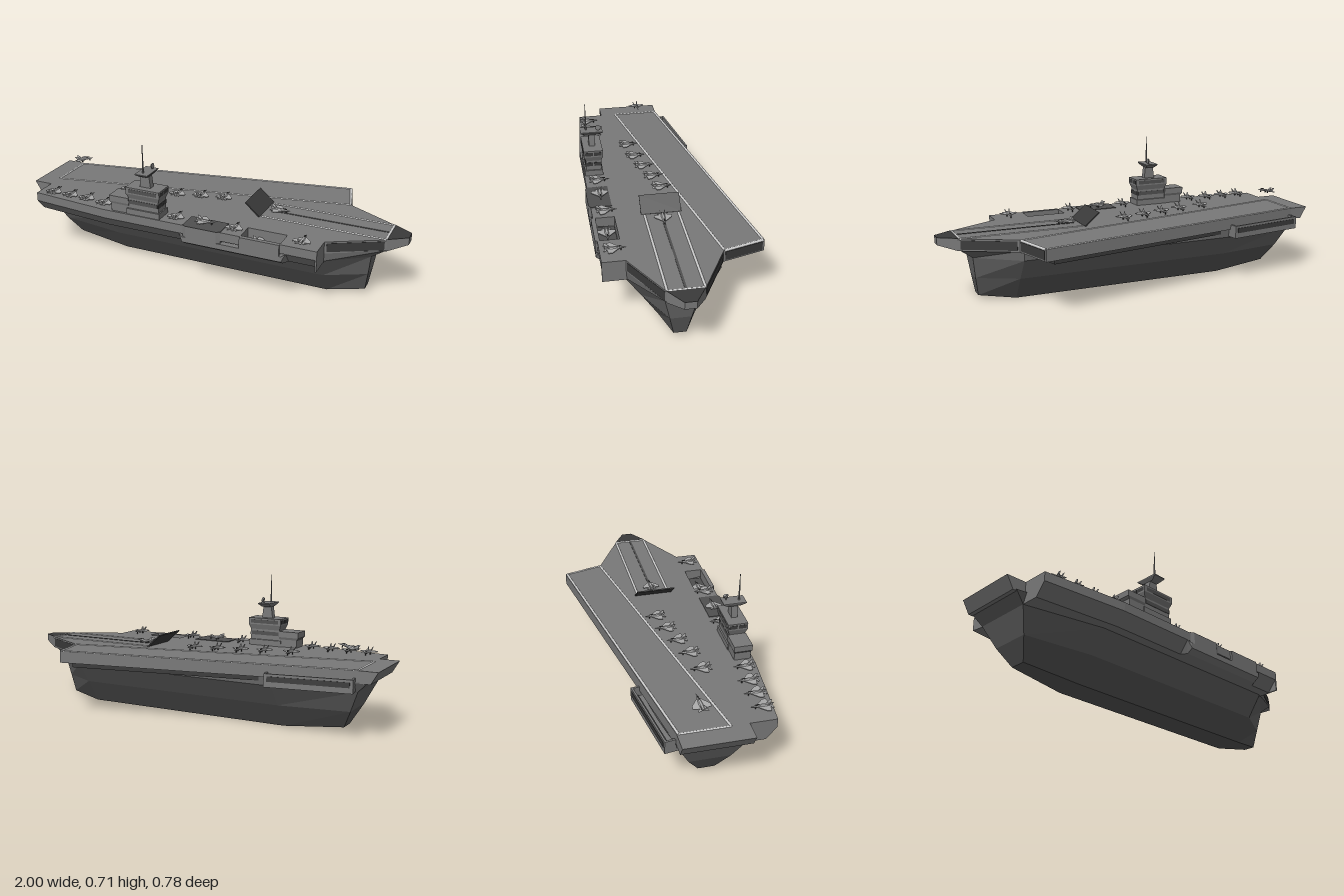
import * as THREE from 'three';

const mat = (color) => new THREE.MeshStandardMaterial({ color, flatShading: true, side: THREE.DoubleSide });
const grey = mat(0x787878), upperHull = mat(0x646464), lowerHull = mat(0x555555), liftGrey = mat(0x505050);
const dark = mat(0x3a3a3a), light = mat(0xa8a8a8), paint = mat(0xcccccc);
const DECK = 0.335, CENTRE = 0.05;

function add(parent, name, geo, material = grey, x = 0, y = 0, z = 0) {
  const m = new THREE.Mesh(geo, material);
  m.name = name;
  m.position.set(x, y, z);
  parent.add(m);
  return m;
}

// Box given by its limits on each axis
function block(parent, name, [x0, x1], [y0, y1], [z0, z1], material = grey) {
  return add(parent, name, new THREE.BoxGeometry(x1 - x0, y1 - y0, z1 - z0), material,
    (x0 + x1) / 2, (y0 + y1) / 2, (z0 + z1) / 2);
}

// Closed skin through equal rings of points, each end capped by strips across the ring
function loft(rings) {
  const pos = [], n = rings[0].length;
  const quad = (a, b, c, d) => pos.push(...a, ...b, ...c, ...a, ...c, ...d);
  for (let r = 0; r < rings.length - 1; r++)
    for (let i = 0; i < n; i++) {
      const j = (i + 1) % n, a = rings[r], b = rings[r + 1];
      quad(a[i], a[j], b[j], b[i]);
    }
  const first = rings[0], last = rings[rings.length - 1];
  for (let i = 0; i < Math.floor((n - 1) / 2); i++) {
    quad(first[n - 1 - i], first[n - 2 - i], first[i + 1], first[i]);
    quad(last[i], last[i + 1], last[n - 2 - i], last[n - 1 - i]);
  }
  const g = new THREE.BufferGeometry();
  g.setAttribute('position', new THREE.Float32BufferAttribute(pos, 3));
  g.computeVertexNormals();
  return g;
}

// Horizontal plate from an (x, z) outline, standing on y = 0
function plate(points, depth, hole) {
  const flip = (pts) => pts.map(([x, z]) => new THREE.Vector2(x, -z));
  const shape = new THREE.Shape(flip(points));
  if (hole) shape.holes.push(new THREE.Path(flip(hole)));
  return new THREE.ExtrudeGeometry(shape, { depth, bevelEnabled: false }).rotateX(-Math.PI / 2);
}

// Four-sided block whose foot and top differ: [y, x0, x1, z0, z1] per level
const tiers = (levels) => loft(levels.map(([y, x0, x1, z0, z1]) =>
  [[x1, y, z1], [x1, y, z0], [x0, y, z0], [x0, y, z1]]));

// Lays a geometry that runs along x between two (x, z) points
function span(parent, name, makeGeo, [ax, az], [bx, bz], y, material) {
  const m = add(parent, name, makeGeo(Math.hypot(bx - ax, bz - az)), material, (ax + bx) / 2, y, (az + bz) / 2);
  m.rotation.y = -Math.atan2(bz - az, bx - ax);
}
// Painted line: a round rod sunk almost flush with the deck
const line = (parent, name, a, b) => span(parent, name,
  (len) => new THREE.CylinderGeometry(0.0065, 0.0065, len, 24).rotateZ(Math.PI / 2), a, b, DECK - 0.003, paint);
// Dark panel on a vertical deck edge
const panel = (parent, a, b) => span(parent, 'edgePanel',
  (len) => new THREE.BoxGeometry(len, 0.045, 0.003), a, b, 0.305, dark);

// Jet with its nose towards +x
function makeJet() {
  const jet = new THREE.Group();
  jet.name = 'jet';
  const body = [[-0.045, 0.006, 0.008], [-0.01, 0.007, 0.011], [0.02, 0.006, 0.007], [0.052, 0.001, 0.001]];
  add(jet, 'fuselage', loft(body.map(([x, h, w]) => [0, 1, 2, 3, 4, 5].map((i) => {
    const a = i * Math.PI / 3;
    return [x, 0.014 + h * Math.sin(a), -w * Math.cos(a)];
  }))), light);
  add(jet, 'wings', plate([[0.03, 0], [-0.014, -0.043], [-0.032, -0.043], [-0.038, 0],
    [-0.032, 0.043], [-0.014, 0.043]], 0.003), light, 0, 0.012, 0);
  add(jet, 'tailplane', plate([[-0.03, 0], [-0.042, -0.024], [-0.052, -0.024], [-0.045, 0],
    [-0.052, 0.024], [-0.042, 0.024]], 0.002), light, 0, 0.0125, 0);
  const canopy = add(jet, 'canopy', new THREE.SphereGeometry(0.005, 8, 6), dark, 0.022, 0.02, 0);
  canopy.scale.set(2.2, 0.8, 0.8);
  for (const s of [-1, 1]) {
    const fin = new THREE.Shape([[-0.022, 0], [-0.044, 0], [-0.05, 0.016], [-0.04, 0.016]]
      .map(([x, y]) => new THREE.Vector2(x, y)));
    const f = add(jet, 'tailFin', new THREE.ExtrudeGeometry(fin, { depth: 0.002, bevelEnabled: false }), light, 0, 0.017, s * 0.008 - 0.001);
    f.rotation.x = s * 0.25;
    block(jet, 'mainWheel', [-0.014, -0.008], [0, 0.012], [s * 0.01 - 0.002, s * 0.01 + 0.002], dark);
  }
  block(jet, 'noseWheel', [0.027, 0.032], [0, 0.012], [-0.002, 0.002], dark);
  return jet;
}

export function createModel() {
  const ship = new THREE.Group();
  ship.name = 'aircraftCarrier';

  // Hull: levels of [y, end rise, stern x, stern half, middle half, bow x, bow half]
  const levels = [
    [0, 0.025, -0.8, 0.04, 0.07, 0.81, 0.03],
    [0.12, 0, -0.85, 0.1, 0.15, 0.825, 0.05],
    [0.23, 0, -0.9, 0.15, 0.228, 0.84, 0.075],
    [0.28, 0, -0.95, 0.165, 0.228, 0.91, 0.083],
  ].map(([y, up, xs, hs, hm, xb, hb]) => {
    const half = [[xb, y + up, hb], [0.63, y, hm], [-0.5, y, hm], [xs, y + up, hs]];
    return [...half.map(([x, h, w]) => [x, h, CENTRE - w]),
      ...half.reverse().map(([x, h, w]) => [x, h, CENTRE + w])];
  });
  add(ship, 'lowerHull', loft(levels.slice(0, 2)), lowerHull);
  add(ship, 'upperHull', loft(levels.slice(1)), upperHull);

  // Flight deck, raked at the stern, thinner at the bow and along the starboard edge
  const deck = plate([[-1, -0.12], [-0.9, -0.12], [0.59, -0.39], [0.65, -0.18], [0.91, -0.04], [1, 0.015],
    [1, 0.07], [0.91, 0.13], [0.65, 0.27], [0.65, 0.38], [-0.47, 0.38], [-0.9, 0.34], [-0.9, 0.21], [-1, 0.21]],
  0.06, [[0.27, 0.275], [0.27, 0.368], [0.47, 0.368], [0.47, 0.275]]);
  const p = deck.attributes.position;
  for (let i = 0; i < p.count; i++) {
    if (p.getY(i) > 0.03) continue;
    if (p.getX(i) < -0.95) p.setX(i, -0.965);
    if (p.getX(i) > 0.95) p.setY(i, 0.025);
    if (p.getZ(i) > 0.3) p.setY(i, 0.015);
  }
  deck.computeVertexNormals();
  add(ship, 'flightDeck', deck, grey, 0, DECK - 0.06, 0);
  add(ship, 'bowRoundDown', plate([[0.91, -0.04], [1, 0.015], [1, 0.07], [0.91, 0.13]], 0.002), dark, 0, DECK, 0);
  panel(ship, [0.66, -0.175], [0.9, -0.045]);
  panel(ship, [0.66, 0.265], [0.9, 0.135]);
  panel(ship, [0.594, -0.38], [0.648, -0.19]);

  // Starboard sponson: [x, outer z, knee y, bottom z]
  const sponson = [[-0.9, 0.34, 0.29, 0.29], [-0.47, 0.38, 0.29, 0.33], [-0.05, 0.38, 0.29, 0.33],
    [-0.03, 0.39, 0.25, 0.36], [0.48, 0.39, 0.25, 0.36], [0.5, 0.38, 0.29, 0.33], [0.65, 0.38, 0.29, 0.33]];
  add(ship, 'starboardSponson', loft(sponson.map(([x, zo, yk, zb]) =>
    [[x, 0.23, 0.19], [x, 0.278, 0.19], [x, Math.max(0.278, yk), zo], [x, yk, zo], [x, 0.23, zb]])));
  block(ship, 'sponsonEndFrame', [0.642, 0.65], [0.23, 0.3], [0.27, 0.38]);

  // Elevators: one level with the deck, one lowered in its well
  const lift = (depth) => plate([[-0.03, 0.275], [0.17, 0.275], [0.17, 0.38], [0.15, 0.39], [-0.01, 0.39], [-0.03, 0.38]], depth);
  add(ship, 'elevatorSupport', lift(0.058), grey, 0, DECK - 0.058, 0);
  add(ship, 'raisedElevator', lift(0.003), liftGrey, 0, DECK, 0);
  block(ship, 'loweredElevator', [0.272, 0.468], [0.279, 0.284], [0.277, 0.366], liftGrey);
  block(ship, 'elevatorSill', [0.27, 0.47], [0.275, DECK], [0.368, 0.39]);

  // Dark support under the overhang, and the port gallery beside it
  add(ship, 'overhangSupport', plate([[-0.45, -0.175], [0.54, -0.355], [0.58, -0.215]], 0.025), dark, 0, 0.25, 0);
  const gallery = new THREE.Group();
  gallery.name = 'portGallery';
  gallery.position.set(-0.69, 0, -0.18);
  gallery.rotation.y = 0.155;
  block(gallery, 'galleryFloor', [-0.21, 0.21], [0.235, 0.25], [-0.025, 0.045]);
  block(gallery, 'galleryWalkway', [-0.2, 0.2], [0.25, 0.254], [-0.015, 0.01], dark);
  block(gallery, 'galleryBulwark', [-0.21, 0.21], [0.25, 0.3], [-0.025, -0.015]);
  block(gallery, 'galleryOpening', [-0.195, 0.195], [0.262, 0.288], [-0.027, -0.024], dark);
  for (const s of [-1, 1]) block(gallery, 'galleryEnd', [s * 0.205 - 0.005, s * 0.205 + 0.005], [0.25, 0.3], [-0.015, 0.03]);
  ship.add(gallery);

  // Deck markings and catapult
  const runway = [[-0.9, 0.125], [-0.9, -0.112], [0.588, -0.382], [0.643, -0.185]];
  runway.forEach((a, i) => line(ship, 'runwayLine', a, runway[(i + 1) % 4]));
  const bow = [[0.28, -0.04], [0.905, -0.04], [0.905, 0.128], [0.28, 0.128]];
  for (let i = 0; i < 3; i++) line(ship, 'bowLine', bow[i], bow[i + 1]);
  block(ship, 'catapultTrack', [0.3, 0.9], [DECK - 0.001, DECK + 0.002], [0.04, 0.051], liftGrey);

  // Raised blast deflector
  const shield = add(ship, 'blastDeflector', new THREE.BoxGeometry(0.1, 0.006, 0.2), dark, 0.236, 0.367, 0.044);
  shield.rotation.z = -0.72;

  // Island
  const island = new THREE.Group();
  island.name = 'island';
  add(island, 'mainHouse', tiers([[DECK, -0.34, -0.16, 0.28, 0.375], [0.365, -0.34, -0.16, 0.28, 0.375],
    [0.366, -0.33, -0.165, 0.287, 0.368], [0.42, -0.33, -0.165, 0.287, 0.368], [0.446, -0.34, -0.155, 0.278, 0.378],
    [0.48, -0.34, -0.155, 0.278, 0.378]]));
  add(island, 'aftHouse', tiers([[DECK, -0.43, -0.33, 0.285, 0.368], [0.375, -0.43, -0.33, 0.285, 0.368],
    [0.387, -0.44, -0.33, 0.28, 0.372], [0.417, -0.44, -0.33, 0.28, 0.372]]));
  for (const [y0, y1, e] of [[0.453, 0.472, 0], [0.39, 0.41, 0.009]]) {
    for (const [z0, z1] of [[0.285, 0.325], [0.331, 0.371]])
      block(island, 'endWindow', [-0.341 + e, -0.154 - e], [y0, y1], [Math.max(z0, 0.278 + e), Math.min(z1, 0.378 - e)], dark);
    block(island, 'sideWindow', [-0.325, -0.17], [y0, y1], [0.277 + e, 0.379 - e], liftGrey);
  }
  add(island, 'tower', tiers([[0.48, -0.278, -0.218, 0.312, 0.344], [0.54, -0.27, -0.225, 0.312, 0.344]]));
  add(island, 'mastPlatform', tiers([[0.54, -0.27, -0.225, 0.295, 0.36], [0.556, -0.28, -0.212, 0.27, 0.386],
    [0.561, -0.28, -0.212, 0.27, 0.386]]));
  add(island, 'mast', new THREE.CylinderGeometry(0.0015, 0.005, 0.145, 8), grey, -0.25, 0.633, 0.355);
  add(island, 'radarPost', new THREE.CylinderGeometry(0.003, 0.003, 0.02, 8), grey, -0.235, 0.568, 0.293);
  const dish = add(island, 'radarDish', new THREE.CylinderGeometry(0.014, 0.009, 0.008, 16), grey, -0.233, 0.578, 0.293);
  dish.rotation.z = -Math.PI / 2 + 0.2;
  ship.add(island);

  // Jets: parked nose to port, then those lined up towards the bow
  const place = (x, y, z, turn, pitch = 0) => {
    const jet = makeJet();
    jet.position.set(x, y, z);
    jet.rotation.set(0, turn, pitch);
    ship.add(jet);
  };
  for (const x of [-0.81, -0.71, -0.61, -0.5, -0.09, 0.22, 0.56]) place(x, DECK, x < -0.55 ? 0.295 : 0.31, Math.PI / 2);
  for (const [x, z] of [[-0.47, 0.105], [-0.33, 0.085], [-0.21, 0.055], [-0.09, 0.025], [0.03, 0]]) place(x, DECK, z, Math.PI / 2);
  place(0.35, DECK, 0.045, 0);
  place(0.07, DECK + 0.003, 0.322, 0);
  place(0.36, 0.284, 0.322, 0);
  place(-0.81, 0.406, 0.005, 0.1, 0.22);
  return ship;
}
